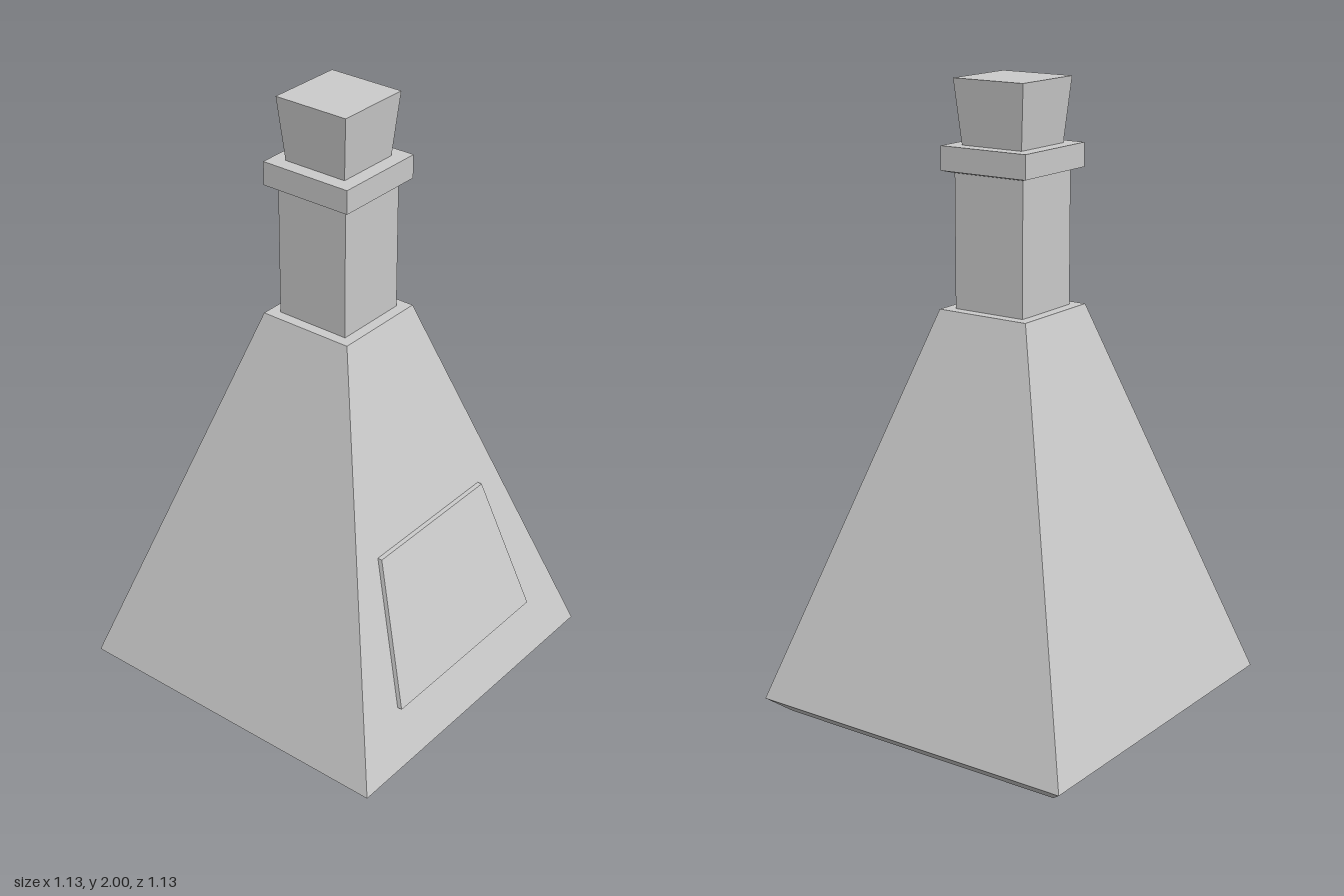
import * as THREE from 'three';

const material = new THREE.MeshStandardMaterial({ color: 0xcccccc, flatShading: true });

// Square solid from a profile of [half width, height] pairs, listed bottom to top
function squareTurned(name, profile) {
  const points = profile.map(([w, y]) => new THREE.Vector2(w * Math.SQRT2, y));
  const geometry = new THREE.LatheGeometry(points, 4, Math.PI / 4).toNonIndexed();
  geometry.computeVertexNormals();
  const mesh = new THREE.Mesh(geometry, material);
  mesh.name = name;
  return mesh;
}

// Thin trapezoid plate lying on the sloped left side
function sidePlate() {
  const geometry = new THREE.BoxGeometry(1, 1, 1);
  const p = geometry.attributes.position;
  for (let i = 0; i < p.count; i++) {
    const top = p.getY(i) > 0;
    const surface = top ? 0.361 : 0.508;
    const x = surface + (p.getX(i) > 0 ? 0.015 : -0.005);
    p.setXYZ(i, x, top ? 0.68 : 0.227, Math.sign(p.getZ(i)) * (top ? 0.26 : 0.342));
  }
  geometry.computeVertexNormals();
  const mesh = new THREE.Mesh(geometry, material);
  mesh.name = 'label';
  return mesh;
}

export function createModel() {
  const bottle = new THREE.Group();
  bottle.name = 'bottle';
  bottle.add(
    // Pyramid body with recessed underside, chamfered foot, shoulder and neck
    squareTurned('body', [
      [0, 0.035], [0.37, 0.035], [0.413, 0], [0.505, 0], [0.565, 0.05],
      [0.16, 1.3], [0.125, 1.3], [0.125, 1.72],
    ]),
    // Lip around the mouth
    squareTurned('collar', [[0, 1.718], [0.13, 1.718], [0.155, 1.725], [0.155, 1.8], [0, 1.8]]),
    // Stopper widening towards the top
    squareTurned('cork', [[0, 1.8], [0.109, 1.8], [0.127, 2], [0, 2]]),
    sidePlate(),
  );
  return bottle;
}
